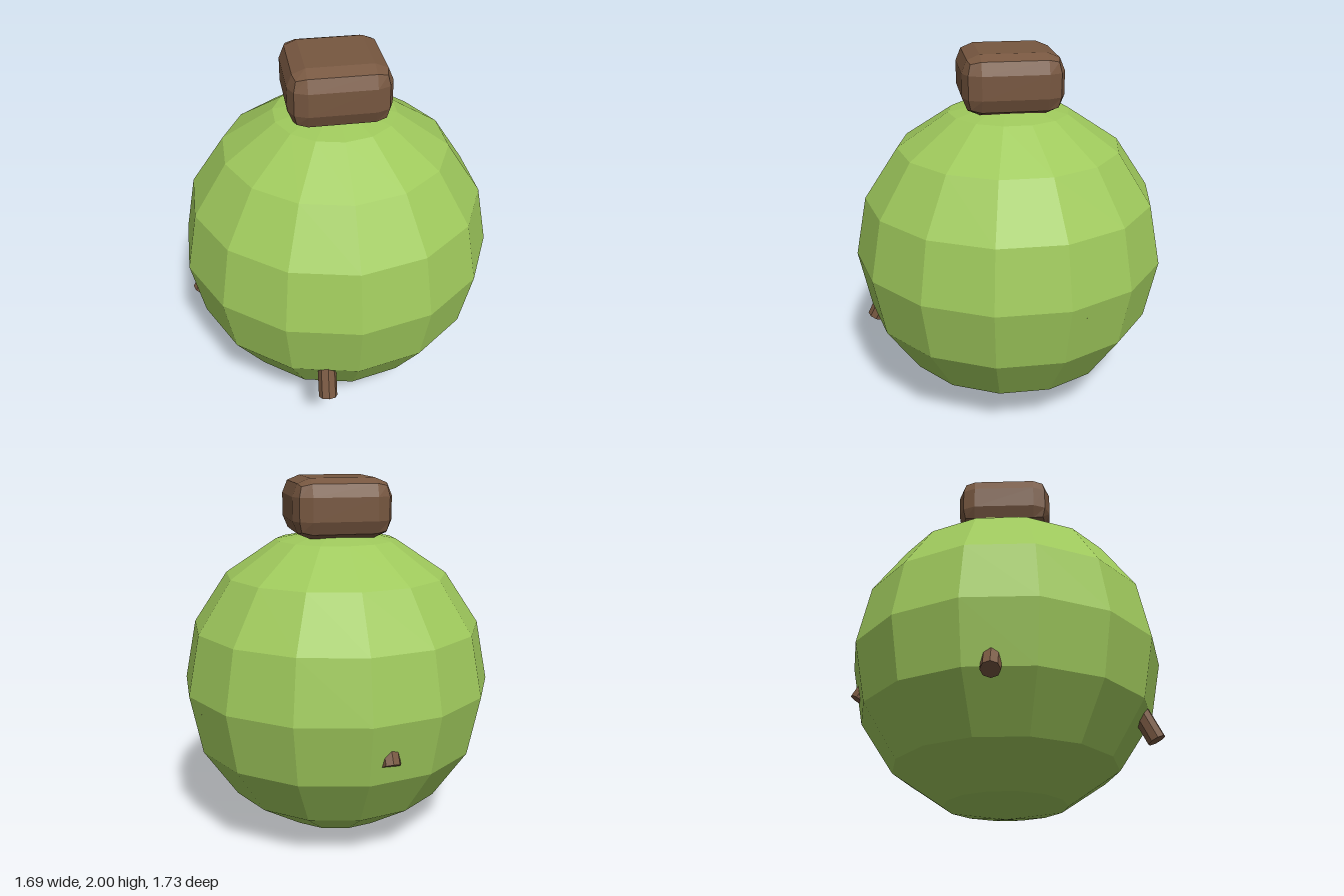
import * as THREE from 'three';
import { RoundedBoxGeometry } from 'three/addons/geometries/RoundedBoxGeometry.js';

export function createModel() {
  const model = new THREE.Group();
  model.name = 'roundFruit';

  const green = new THREE.MeshStandardMaterial({ color: 0x9fc95c });
  green.name = 'leafGreen';
  const brown = new THREE.MeshStandardMaterial({ color: 0x775740 });
  brown.name = 'barkBrown';

  // Split a geometry into hard facets
  const faceted = (geometry) => {
    const g = geometry.index ? geometry.toNonIndexed() : geometry;
    g.computeVertexNormals();
    return g;
  };
  const add = (name, geometry, material) => {
    const mesh = new THREE.Mesh(faceted(geometry), material);
    mesh.name = name;
    model.add(mesh);
    return mesh;
  };

  // Round body, with a ridge line facing the front
  const body = add('body', new THREE.SphereGeometry(0.863, 14, 8).rotateY(Math.PI / 2), green);
  body.position.y = 0.866;

  // Chunky bevelled cap
  const cap = add('cap', new RoundedBoxGeometry(0.535, 0.315, 0.535, 1, 0.095), brown);
  cap.position.y = 1.8425;

  // Short twigs: outer end centre, and the direction running up into the body
  const twigs = [
    ['frontTwig', [-0.165, 0.37, 0.79], [0.03, 0.9, -0.43]],
    ['rightTwig', [-0.803, 0.51, -0.04], [0.5, 0.86, 0.02]],
    ['backTwig', [-0.11, 0.635, -0.8], [0.03, 0.87, 0.5]],
    ['leftTwig', [0.752, 0.768, -0.25], [-0.47, 0.87, 0.15]],
  ];
  const length = 0.26;
  for (const [name, end, direction] of twigs) {
    const axis = new THREE.Vector3(...direction).normalize();
    const twig = add(name, new THREE.CylinderGeometry(0.05, 0.05, length, 8), brown);
    twig.quaternion.setFromUnitVectors(new THREE.Vector3(0, 1, 0), axis);
    twig.position.set(...end).addScaledVector(axis, length / 2);
  }

  return model;
}
